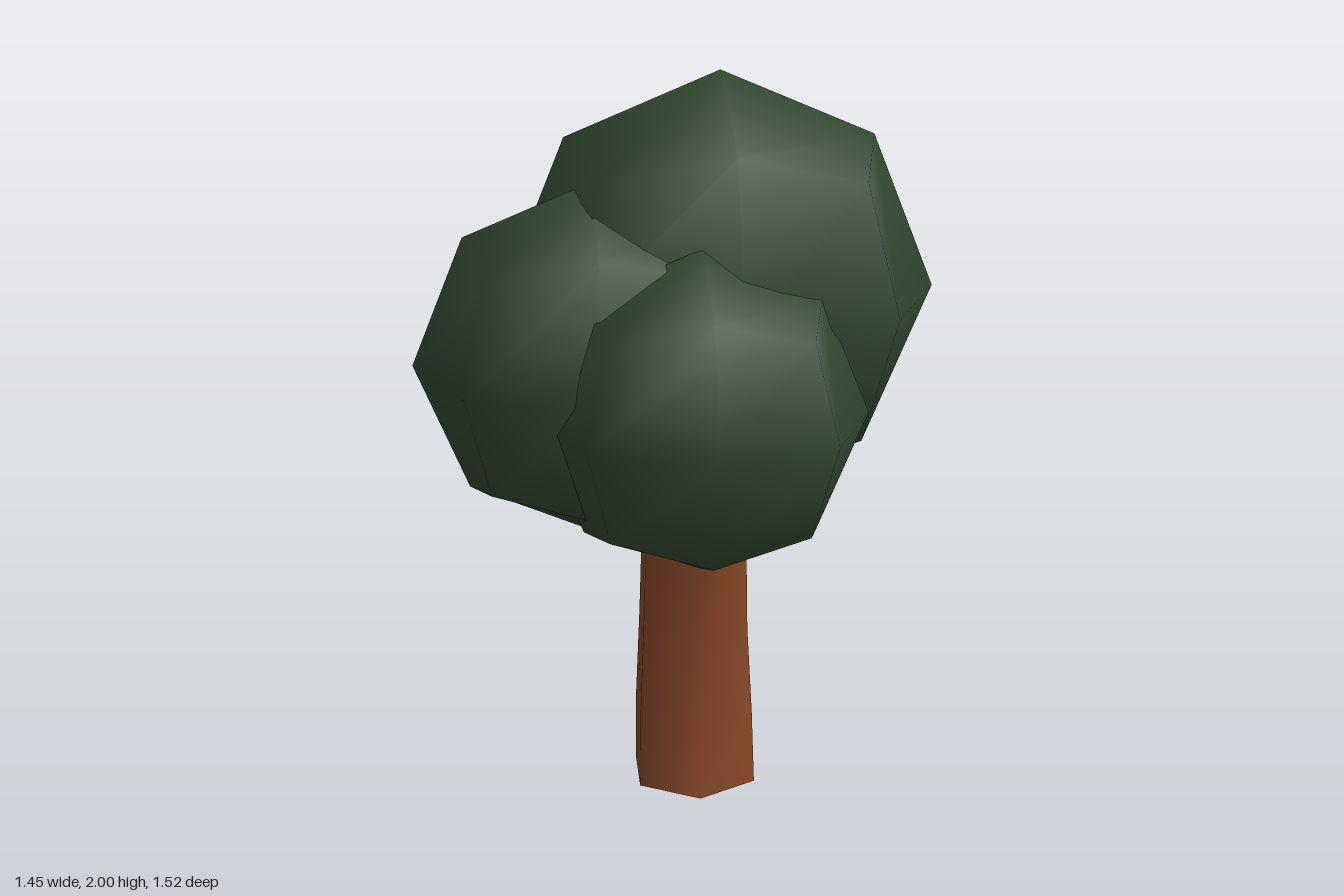
import * as THREE from 'three';
import { mergeVertices } from 'three/addons/utils/BufferGeometryUtils.js';

const mat = (name, color) => {
  const m = new THREE.MeshStandardMaterial({ color });
  m.name = name;
  return m;
};

// Low-poly ball: a subdivided cube pushed out to a sphere, smooth shaded
function leafBall(name, x, y, z, r, bottomShift, material) {
  const geo = new THREE.BoxGeometry(2, 2, 2, 2, 2, 2);
  const pos = geo.attributes.position;
  const v = new THREE.Vector3();
  for (let i = 0; i < pos.count; i++) {
    v.fromBufferAttribute(pos, i).normalize();
    geo.attributes.normal.setXYZ(i, v.x, v.y, v.z);
    const shift = v.y < -0.99 ? bottomShift : 0; // lowest point sits slightly back
    pos.setXYZ(i, v.x * r, v.y * r, v.z * r + shift);
  }
  const mesh = new THREE.Mesh(geo, material);
  mesh.name = name;
  mesh.position.set(x, y, z);
  return mesh;
}

export function createModel() {
  const group = new THREE.Group();
  group.name = 'tree';
  const leaf = mat('dark green leaves', 0x30482f);
  const bark = mat('brown bark', 0x874725);

  // Leaf crowns
  group.add(
    leafBall('mainCrown', 0.12, 1.395, -0.155, 0.605, -0.045, leaf),
    leafBall('sideCrown', -0.24, 1.245, 0.05, 0.488, 0, leaf),
    leafBall('frontCrown', 0.025, 1.163, 0.32, 0.438, -0.045, leaf)
  );

  // Bent six-sided trunk: rings of [height, z centre, radius], bottom to top
  const rings = [
    [0, 0.01, 0.19], [0.2, -0.02, 0.185], [0.45, -0.04, 0.171],
    [0.68, -0.025, 0.164], [0.82, -0.005, 0.155], [1.05, 0.04, 0.14],
  ];
  let geo = new THREE.CylinderGeometry(1, 1, 1, 6, rings.length - 1, true);
  const pos = geo.attributes.position;
  for (let i = 0; i < pos.count; i++) {
    const [y, z, r] = rings[Math.round((pos.getY(i) + 0.5) * (rings.length - 1))];
    pos.setXYZ(i, pos.getX(i) * r, y, pos.getZ(i) * r + z);
  }
  geo.deleteAttribute('uv');
  geo.deleteAttribute('normal');
  geo = mergeVertices(geo);
  geo.computeVertexNormals();
  const trunk = new THREE.Mesh(geo, bark);
  trunk.name = 'trunk';
  trunk.position.x = 0.037;

  // Underside of the trunk
  const base = new THREE.Mesh(new THREE.CircleGeometry(0.19, 6, Math.PI / 2), bark);
  base.name = 'trunkBase';
  base.rotation.x = Math.PI / 2;
  base.position.set(0.037, 0, 0.01);

  group.add(trunk, base);
  return group;
}
